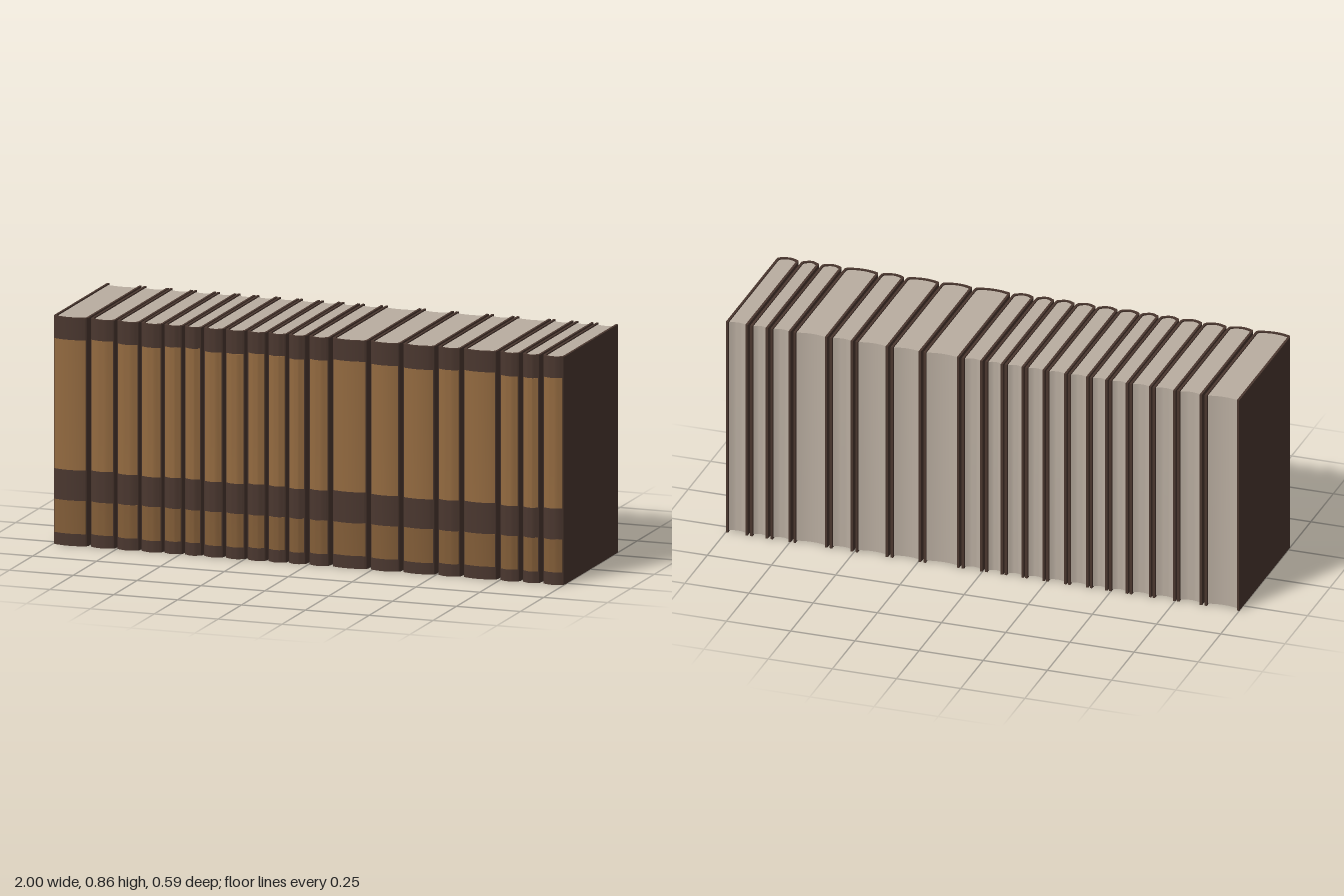
import * as THREE from 'three';
import { toCreasedNormals } from 'three/addons/utils/BufferGeometryUtils.js';

const HEIGHT = 0.86, BACK = 0.295, BOARD = 0.009;

const material = (name, color) => {
  const m = new THREE.MeshStandardMaterial({ color });
  m.name = name;
  return m;
};

// Spine curve seen from above, from the right board to the left: [x, z]
function spinePath(half, front, corner) {
  const path = new THREE.Path();
  path.moveTo(-half, front - 0.027);
  path.quadraticCurveTo(-half, front - 0.012, -half + corner, front - 0.009);
  path.quadraticCurveTo(0, front + 0.009, half - corner, front - 0.009);
  path.quadraticCurveTo(half, front - 0.012, half, front - 0.027);
  return path.getPoints(8);
}

// Extrudes an outline of [x, z] points upwards from y0 to y1
function prism(points, y0, y1) {
  const shape = new THREE.Shape(points.map(p => new THREE.Vector2(p.x, -p.y)));
  const geometry = new THREE.ExtrudeGeometry(shape, { depth: y1 - y0, bevelEnabled: false });
  geometry.rotateX(-Math.PI / 2);
  geometry.translate(0, y0, 0);
  return toCreasedNormals(geometry, 0.6);
}

export function createModel() {
  const group = new THREE.Group();
  group.name = 'bookRow';
  const leather = material('dark brown leather', 0x4a372f);
  const tan = material('tan spine', 0x936a40);
  const lowerTan = material('shaded tan spine', 0x825d38);
  const paper = material('paper', 0xb9ada0);

  // Boundaries between neighbouring books
  const edges = [-1, -0.86, -0.755, -0.66, -0.57, -0.49, -0.415, -0.33, -0.245, -0.163, -0.083,
    -0.005, 0.086, 0.235, 0.363, 0.5, 0.6, 0.742, 0.831, 0.91, 1];
  const last = edges.length - 2;
  const gapAt = i => (i === 0 || i === last + 1 ? 0 : i === 1 || i > 10 ? 0.01 : 0.006);

  for (let i = 0; i <= last; i++) {
    const x0 = edges[i] + gapAt(i) / 2, x1 = edges[i + 1] - gapAt(i + 1) / 2;
    const half = (x1 - x0) / 2, inner = half - BOARD;
    const book = new THREE.Group();
    book.name = 'book' + (i + 1);
    book.position.x = (x0 + x1) / 2;
    const add = (name, geometry, mat) => {
      const mesh = new THREE.Mesh(geometry, mat);
      mesh.name = name;
      book.add(mesh);
    };
    const v = (x, z) => new THREE.Vector2(x, z);

    // Cover: two boards joined by a rounded spine
    const outer = spinePath(half, 0.294, 0.012);
    const inside = spinePath(inner, 0.294 - BOARD, 0.008);
    add('cover', prism([v(-half, -BACK), ...outer, v(half, -BACK),
      v(inner, -BACK), ...inside.slice().reverse(), v(-inner, -BACK)], 0, HEIGHT), leather);

    // Page block with a hollow fore edge
    const foreEdge = [];
    for (let k = 0; k <= 8; k++) {
      const t = 1 - k / 4;
      foreEdge.push(v(t * inner, -0.276 - 0.009 * t * t));
    }
    add('pages', prism([...inside, ...foreEdge], 0.005, HEIGHT - 0.005), paper);

    // Tan panels wrapped over the spine
    const face = outer.filter(p => p.y > 0.2825);
    const plate = [...face.map(p => v(p.x, p.y + 0.0012)),
      ...face.slice().reverse().map(p => v(p.x, p.y - 0.001))];
    const wobble = 0.005 * Math.sin(i * 1.7);
    add('lowerSpinePanel', prism(plate, 0.046 + wobble / 2, 0.171), lowerTan);
    add('upperSpinePanel', prism(plate, 0.286 + wobble / 2, 0.776 + wobble), tan);

    group.add(book);
  }
  return group;
}
